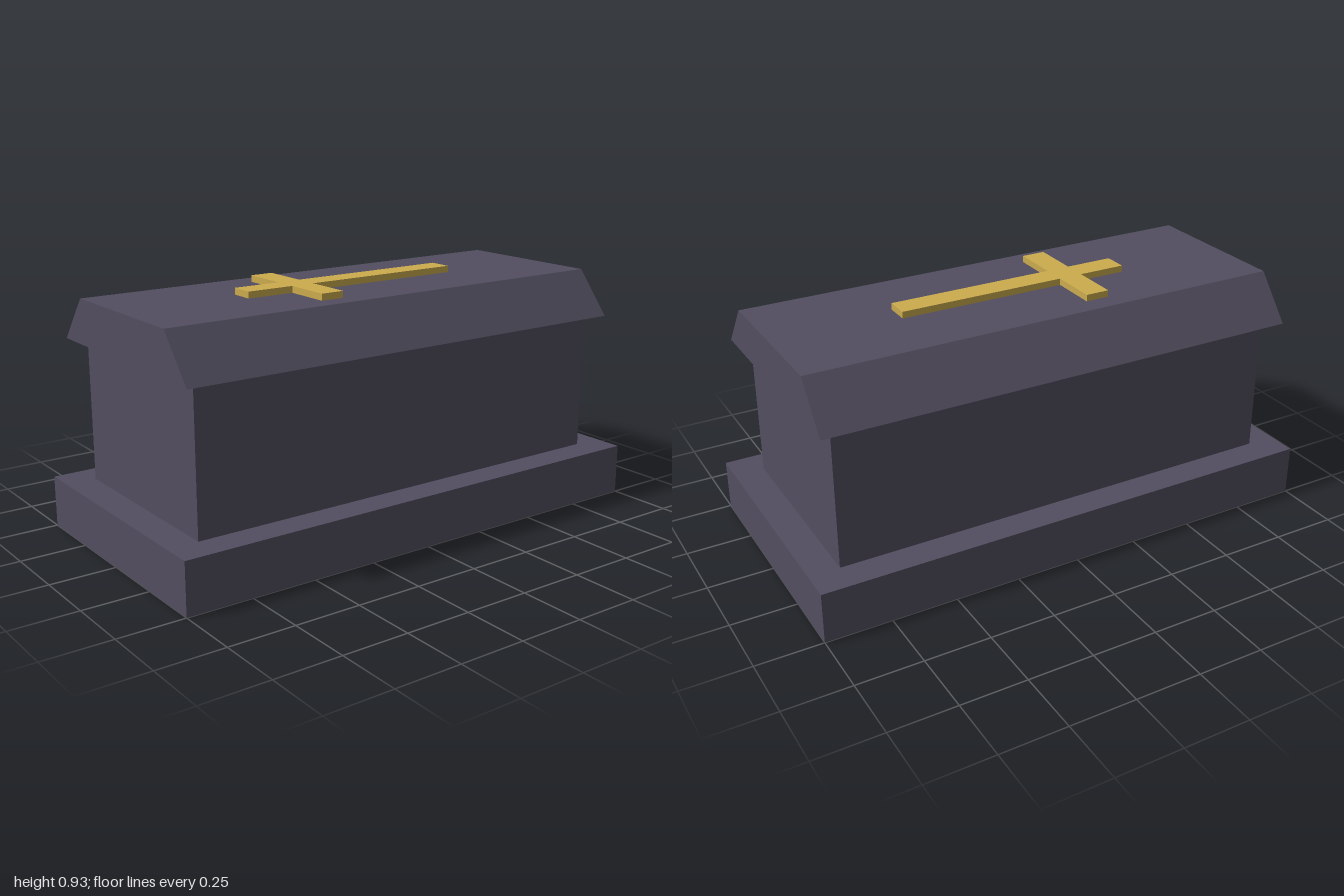
import * as THREE from 'three';

export function createModel() {
  const model = new THREE.Group();
  model.name = 'tomb';

  const stone = new THREE.MeshStandardMaterial({ color: 0x534e60 });
  stone.name = 'dark stone';
  const gold = new THREE.MeshStandardMaterial({ color: 0xccac4e });
  gold.name = 'gold';

  const add = (name, geometry, material) => {
    const mesh = new THREE.Mesh(geometry, material);
    mesh.name = name;
    model.add(mesh);
  };
  const block = (w, d, y0, y1) =>
    new THREE.BoxGeometry(w, y1 - y0, d).translate(0, (y0 + y1) / 2, 0);
  const extrude = (points, depth) =>
    new THREE.ExtrudeGeometry(
      new THREE.Shape(points.map(([x, y]) => new THREE.Vector2(x, y))),
      { depth, bevelEnabled: false }
    );

  // Stepped plinth and chest
  add('plinth', block(1, 2, 0, 0.195), stone);
  add('chest', block(0.77, 1.77, 0.195, 0.732), stone);

  // Lid: flat top with sloping long sides and upright ends
  const lid = extrude([[-0.445, 0.732], [0.445, 0.732], [0.308, 0.9], [-0.308, 0.9]], 1.88);
  add('lid', lid.translate(0, 0, -0.94), stone);

  // Cross lying on the lid, its short end towards the front
  const a = 0.046, arm = 0.231, end = 0.462, near = -0.277, far = -0.185;
  const cross = extrude([
    [-a, -end], [a, -end], [a, near], [arm, near], [arm, far], [a, far],
    [a, end], [-a, end], [-a, far], [-arm, far], [-arm, near], [-a, near],
  ], 0.025);
  add('cross', cross.rotateX(-Math.PI / 2).translate(0, 0.9, 0), gold);

  return model;
}
